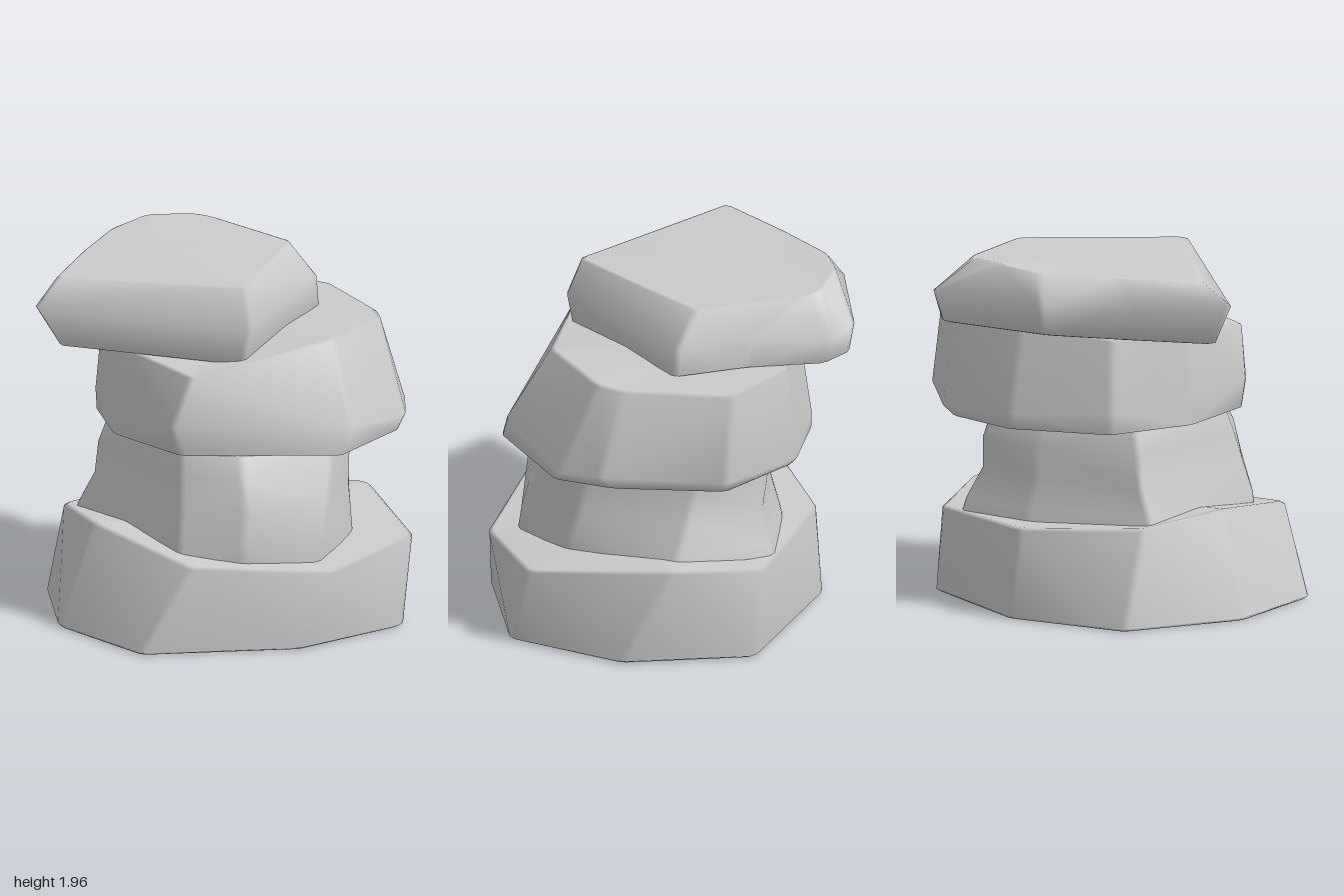
import * as THREE from 'three';

const material = new THREE.MeshStandardMaterial({ color: 0xcccccc });
const mix = (a, b, t) => a.map((v, i) => v + (b[i] - v) * t);

function centreOf(ring) {
  const c = [0, 0, 0];
  ring.forEach((p) => p.forEach((v, i) => { c[i] += v / ring.length; }));
  return c;
}

// Cut every corner of a ring into a narrow chamfer
function chamfer(ring, size = 0.025) {
  const n = ring.length;
  return ring.flatMap((p, i) => [ring[(i + n - 1) % n], ring[(i + 1) % n]].map((q) => {
    const length = Math.hypot(q[0] - p[0], q[1] - p[1], q[2] - p[2]);
    return mix(p, q, Math.min(0.3, size / length));
  }));
}

// True when a quad bulges outwards if split from its first to its third corner
function bulges(quad) {
  const [a, b, c, d] = quad.map((p) => new THREE.Vector3(...p));
  return b.sub(a).cross(c.sub(a)).dot(d.sub(a)) <= 0;
}

// Loft a stone through rings listed bottom to top, each running front, +x, back, -x.
// Area-weighted normals keep the facets flat and the narrow chamfers soft.
function stone(name, corners) {
  const sides = corners.map((r) => chamfer(r));
  const last = sides.length - 1;
  const inset = (ring) => ring.map((p) => mix(p, centreOf(ring), 0.025));
  const ease = (from, to) => from.map((p, i) => mix(p, to[i], 0.03));
  const rings = [
    inset(sides[0]), ease(sides[0], sides[1]),
    ...sides.slice(1, last),
    ease(sides[last], sides[last - 1]), inset(sides[last]),
  ];

  const n = rings[0].length;
  const points = rings.flat();
  const index = [];
  for (let r = 0; r < rings.length - 1; r++) {
    for (let k = 0; k < n; k++) {
      const a = r * n + k, b = r * n + (k + 1) % n;
      const c = b + n, d = a + n;
      if (bulges([a, b, c, d].map((i) => points[i]))) index.push(a, b, c, a, c, d);
      else index.push(a, b, d, b, c, d);
    }
  }
  // Caps
  const bottom = points.push(centreOf(corners[0])) - 1;
  const top = points.push(centreOf(corners[last])) - 1;
  const start = (rings.length - 1) * n;
  for (let k = 0; k < n; k++) {
    const next = (k + 1) % n;
    index.push(bottom, next, k, top, start + k, start + next);
  }

  const geometry = new THREE.BufferGeometry();
  geometry.setAttribute('position', new THREE.Float32BufferAttribute(points.flat(), 3));
  geometry.setIndex(index);
  geometry.computeVertexNormals();
  const mesh = new THREE.Mesh(geometry, material);
  mesh.name = name;
  return mesh;
}

// Ring at one height from [x, z] corners
const level = (y, corners) => corners.map(([x, z]) => [x, y, z]);

export function createModel() {
  const group = new THREE.Group();
  group.name = 'stackedStones';

  // Broad base stone with a sloping, uneven top
  group.add(stone('baseStone', [
    level(0, [[0.11, 1.01], [0.79, 0.79], [0.98, 0.15], [0.79, -0.55],
      [-0.04, -0.78], [-0.74, -0.57], [-0.95, 0.12], [-0.74, 0.8]]),
    [[0.31, 0.41, 0.99], [0.9, 0.48, 0.67], [0.95, 0.56, -0.12], [0.69, 0.49, -0.59],
      [-0.1, 0.5, -0.74], [-0.71, 0.54, -0.4], [-0.75, 0.58, 0.16], [-0.47, 0.485, 0.87]],
  ]));

  // Waisted stone that flares at the foot
  group.add(stone('neckStone', [
    level(0.38, [[-0.15, 0.83], [0.28, 0.84], [0.61, 0.53], [0.84, -0.1],
      [0.53, -0.64], [0.03, -0.6], [-0.72, -0.33], [-0.46, 0.67]]),
    level(0.56, [[-0.15, 0.83], [0.31, 0.81], [0.61, 0.49], [0.79, -0.12],
      [0.5, -0.59], [0.03, -0.56], [-0.67, -0.32], [-0.45, 0.65]]),
    level(0.73, [[-0.14, 0.84], [0.37, 0.76], [0.62, 0.44], [0.7, -0.16],
      [0.43, -0.53], [0.02, -0.51], [-0.58, -0.3], [-0.42, 0.6]]),
    level(0.9, [[-0.14, 0.79], [0.42, 0.68], [0.64, 0.4], [0.67, -0.2],
      [0.41, -0.55], [0.01, -0.53], [-0.56, -0.3], [-0.4, 0.55]]),
    level(1.045, [[-0.12, 0.72], [0.46, 0.61], [0.66, 0.35], [0.65, -0.22],
      [0.39, -0.49], [0, -0.47], [-0.51, -0.28], [-0.38, 0.5]]),
  ]));

  // Wide stone, undercut towards +x, with a slanted front facet
  group.add(stone('upperStone', [
    level(1.03, [[-0.42, 0.6], [0.38, 0.91], [0.87, 0.53], [0.93, 0.2],
      [0.87, -0.4], [0.47, -0.7], [0, -0.73], [-0.5, -0.45], [-0.6, 0.06]]),
    [[-0.47, 1.2, 0.59], [0.46, 1.17, 0.87], [0.92, 1.1, 0.5], [1.01, 1.13, 0.26],
      [0.95, 1.12, -0.42], [0.52, 1.08, -0.73], [-0.01, 1.12, -0.73], [-0.51, 1.15, -0.45],
      [-0.56, 1.2, 0.06]],
    [[-0.38, 1.48, 0.64], [0.46, 1.61, 0.62], [0.85, 1.61, 0.3], [0.89, 1.6, 0.14],
      [0.85, 1.6, -0.44], [0.48, 1.61, -0.68], [-0.02, 1.59, -0.66], [-0.48, 1.55, -0.42],
      [-0.58, 1.53, 0.05]],
  ]));

  // Diamond-shaped capstone overhanging the back and one side
  group.add(stone('capStone', [
    [[-0.06, 1.5, 0.6], [0.66, 1.59, -0.09], [0.5, 1.6, -0.46], [0.4, 1.61, -0.86],
      [0.25, 1.62, -0.98], [-0.34, 1.6, -0.76], [-0.56, 1.56, -0.41], [-0.88, 1.53, -0.03]],
    [[-0.03, 1.7, 0.63], [0.65, 1.75, -0.1], [0.48, 1.77, -0.47], [0.41, 1.76, -0.91],
      [0.28, 1.8, -1.01], [-0.37, 1.78, -0.84], [-0.66, 1.76, -0.44], [-1.02, 1.76, -0.04]],
    [[-0.03, 1.92, 0.55], [0.52, 1.935, -0.18], [0.28, 1.95, -0.74], [0.21, 1.955, -0.81],
      [-0.05, 1.965, -0.85], [-0.28, 1.935, -0.76], [-0.56, 1.91, -0.48], [-0.86, 1.89, -0.12]],
  ]));

  return group;
}
